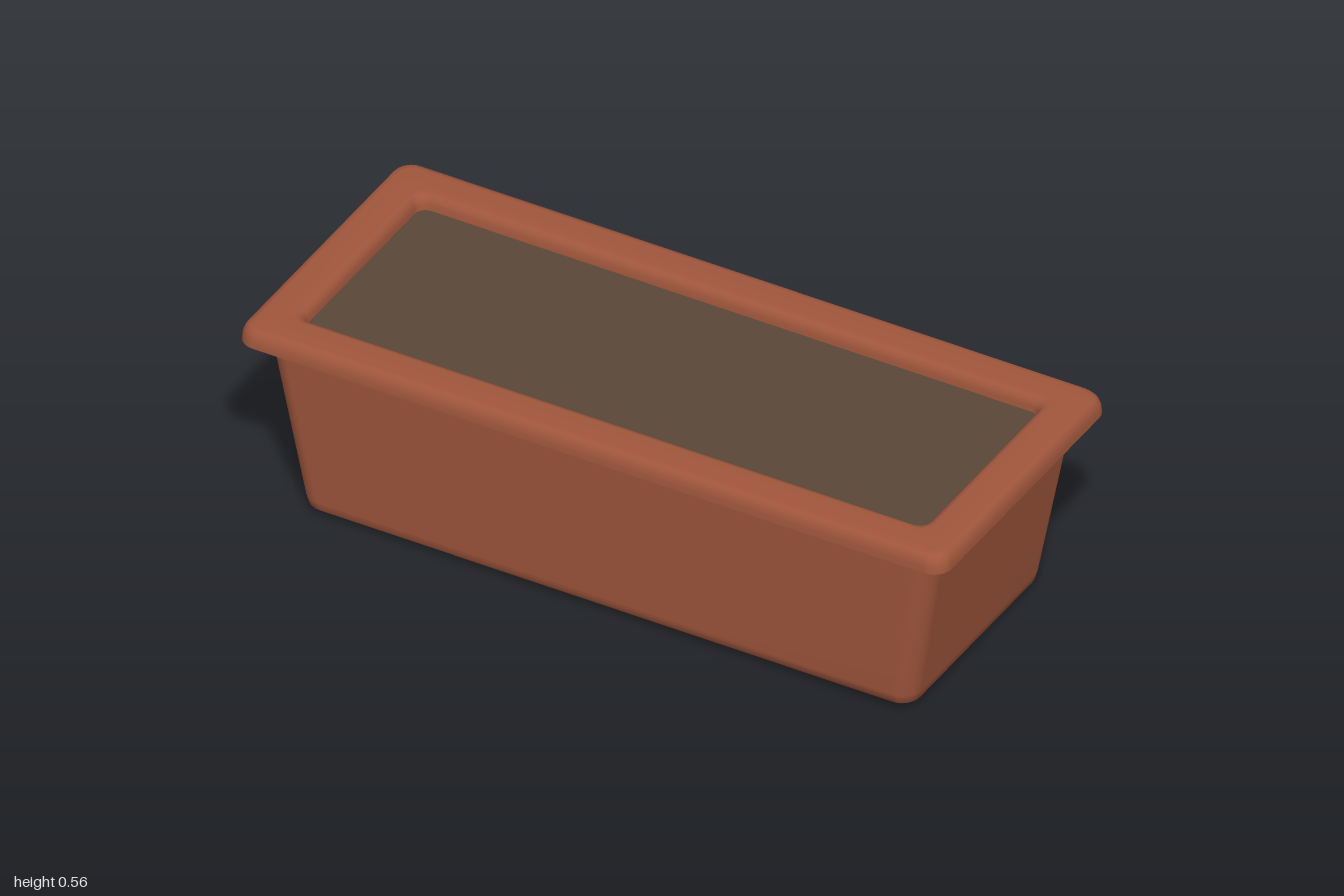
import * as THREE from 'three';

// One closed loop of a rounded rectangle, counter-clockwise seen from below (+x towards +z)
function ring(hx, hz, r, y, steps = 6) {
  const points = [];
  const corners = [[1, 1], [-1, 1], [-1, -1], [1, -1]];
  corners.forEach(([sx, sz], c) => {
    for (let i = 0; i <= steps; i++) {
      const a = (c + i / steps) * Math.PI / 2;
      points.push([sx * (hx - r) + r * Math.cos(a), y, sz * (hz - r) + r * Math.sin(a)]);
    }
  });
  return points;
}

// Smooth skin through rings; listed bottom to top, it faces outwards
function loft(sections, capStart = false) {
  const rings = sections.map((s) => ring(...s));
  const n = rings[0].length;
  const positions = rings.flat(2);
  const index = [];
  for (let k = 0; k < rings.length - 1; k++) {
    for (let i = 0; i < n; i++) {
      const j = (i + 1) % n;
      const a = k * n + i, b = k * n + j, c = a + n, d = b + n;
      index.push(a, c, b, b, c, d);
    }
  }
  if (capStart) {
    const centre = positions.length / 3;
    positions.push(0, sections[0][3], 0);
    for (let i = 0; i < n; i++) index.push(centre, i, (i + 1) % n);
  }
  const geometry = new THREE.BufferGeometry();
  geometry.setAttribute('position', new THREE.Float32BufferAttribute(positions, 3));
  geometry.setIndex(index);
  geometry.computeVertexNormals();
  return geometry;
}

export function createModel() {
  const terracotta = new THREE.MeshStandardMaterial({ color: 0xa0563c });
  terracotta.name = 'terracotta';
  const earth = new THREE.MeshStandardMaterial({ color: 0x5a4838 });
  earth.name = 'earth';

  const model = new THREE.Group();
  model.name = 'planter';
  const add = (name, geometry, material) => {
    const mesh = new THREE.Mesh(geometry, material);
    mesh.name = name;
    model.add(mesh);
  };

  // Tapered box with a softened base
  add('body', loft([
    [0.815, 0.28, 0.02, 0],
    [0.84, 0.308, 0.035, 0.006],
    [0.86, 0.328, 0.05, 0.022],
    [0.868, 0.335, 0.055, 0.05],
    [0.908, 0.35, 0.055, 0.285],
    [0.947, 0.365, 0.055, 0.516],
  ], true), terracotta);

  // Flat underside of the overhanging rim
  add('rimUnderside', loft([
    [0.935, 0.355, 0.04, 0.515],
    [1, 0.415, 0.05, 0.515],
  ]), terracotta);

  // Rim: outer edge, rounded shoulder, flat top and inner lip
  add('rim', loft([
    [1, 0.415, 0.05, 0.515],
    [0.999, 0.414, 0.05, 0.535],
    [0.994, 0.409, 0.048, 0.55],
    [0.985, 0.4, 0.045, 0.561],
    [0.97, 0.385, 0.04, 0.565],
    [0.905, 0.32, 0.04, 0.565],
    [0.893, 0.308, 0.036, 0.562],
    [0.884, 0.299, 0.033, 0.553],
    [0.879, 0.294, 0.03, 0.54],
    [0.877, 0.292, 0.03, 0.515],
  ]), terracotta);

  // Soil filling the opening
  const outline = ring(0.879, 0.294, 0.03, 0).map(([x, , z]) => new THREE.Vector2(x, z));
  const soil = new THREE.ShapeGeometry(new THREE.Shape(outline));
  soil.rotateX(-Math.PI / 2).translate(0, 0.525, 0);
  add('soil', soil, earth);

  return model;
}
